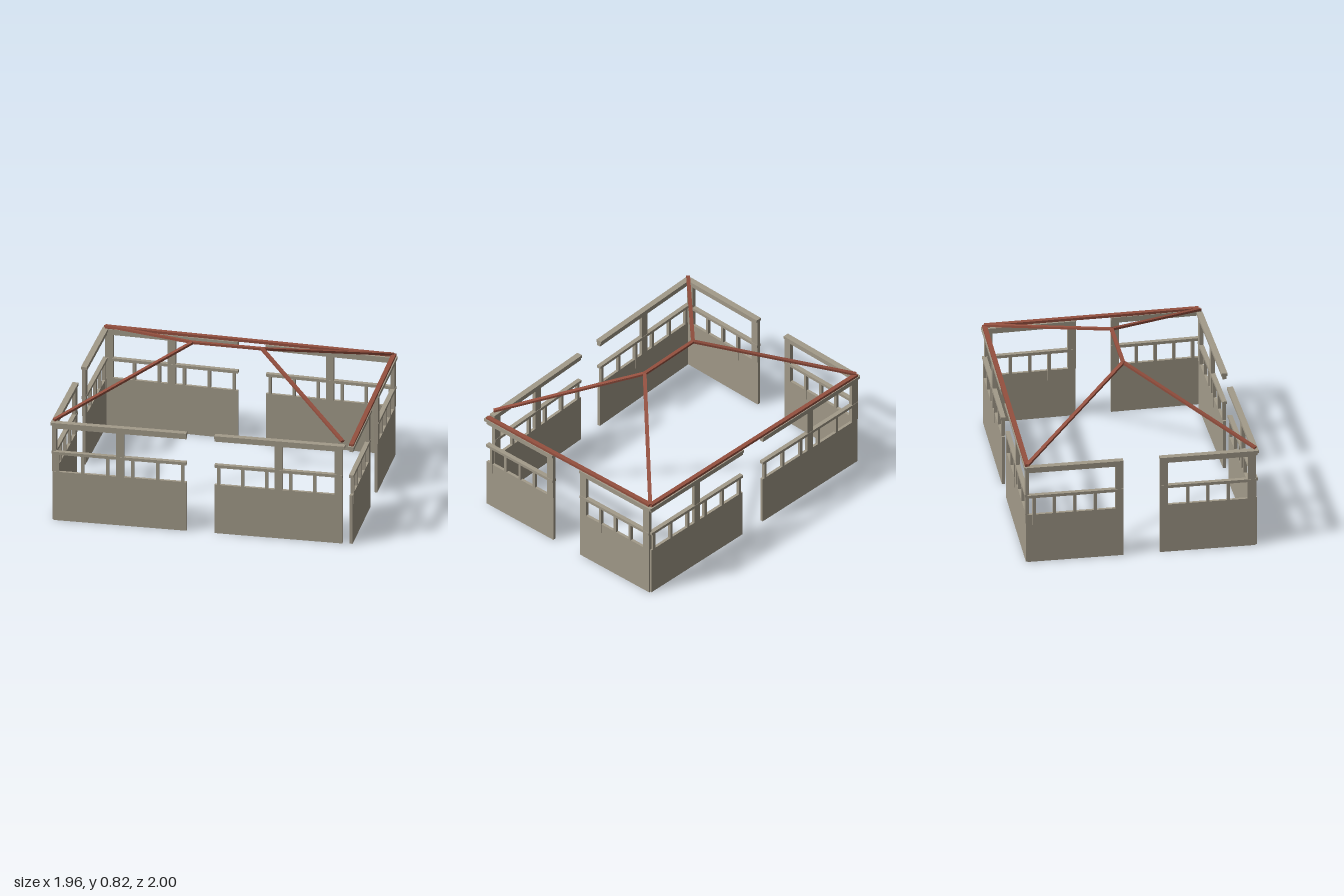
import * as THREE from 'three';

const wood = new THREE.MeshStandardMaterial({ color: 0xa39b8a });
wood.name = 'weathered wood';
const red = new THREE.MeshStandardMaterial({ color: 0x95503f });
red.name = 'red roof timber';

// Corner points on the ground plan, as [x, z]
const west = [-0.965, -0.19], southA = [0.085, 0.945], southB = [0.115, 0.98];
const east = [0.96, 0.207], north = [-0.047, -0.985];

function box(parent, name, x0, x1, y0, y1, depth, material = wood) {
  const mesh = new THREE.Mesh(new THREE.BoxGeometry(x1 - x0, y1 - y0, depth), material);
  mesh.name = name;
  mesh.position.set((x0 + x1) / 2, (y0 + y1) / 2, 0);
  parent.add(mesh);
}

// Square timber between two points
function timber(parent, name, a, b, width, height) {
  const from = new THREE.Vector3(...a), to = new THREE.Vector3(...b);
  const mesh = new THREE.Mesh(new THREE.BoxGeometry(width, height, from.distanceTo(to)), red);
  mesh.name = name;
  mesh.position.copy(from).add(to).multiplyScalar(0.5);
  mesh.lookAt(to);
  parent.add(mesh);
}

// Half of a side: low wall, rail, balusters, post and top plates
function panel(parent, x0, x1, isLong, isFirst) {
  const len = x1 - x0;
  box(parent, 'lowWall', x0, x1, 0, 0.28, 0.016);
  box(parent, 'handRail', x0, x1, 0.38, 0.396, 0.024);
  box(parent, 'lowerPlate', x0, x1, 0.53, 0.548, 0.02);
  box(parent, 'upperPlate', x0 - (isFirst ? 0.012 : 0), x1 + (isFirst ? 0 : 0.012), 0.548, 0.564, 0.032);

  // Posts stand mid-panel on long sides and beside the opening on short sides
  const post = isLong ? (x0 + x1) / 2 : isFirst ? x1 - 0.021 : x0 + 0.021;
  box(parent, 'post', post - 0.021, post + 0.021, 0.28, 0.53, 0.02);
  if (!isFirst) box(parent, 'cornerPost', x1 - 0.042, x1, 0.28, 0.53, 0.02);

  const count = isLong ? 6 : 4;
  for (let i = 0; i < count; i++) {
    const f = isLong ? 0.03 + 0.188 * i : 0.07 + 0.213 * i;
    const x = x0 + len * (isFirst ? f : 1 - f);
    const bottom = i % 3 === 0 ? 0.22 : 0.28;
    box(parent, 'baluster', x - 0.008, x + 0.008, bottom, 0.38, 0.018);
  }
}

function side(parent, name, a, b, gapStart, gapEnd, isLong) {
  const g = new THREE.Group();
  g.name = name;
  const dx = b[0] - a[0], dz = b[1] - a[1], len = Math.hypot(dx, dz);
  g.position.set(a[0], 0, a[1]);
  g.rotation.y = Math.atan2(-dz, dx);
  panel(g, 0, len * gapStart, isLong, true);
  panel(g, len * gapEnd, len, isLong, false);
  parent.add(g);
}

export function createModel() {
  const model = new THREE.Group();
  model.name = 'openPavilion';

  // Four sides, each with an opening in the middle
  side(model, 'frontRightSide', west, southA, 0.46, 0.557, true);
  side(model, 'frontLeftSide', southB, east, 0.41, 0.575, false);
  side(model, 'backLeftSide', east, north, 0.443, 0.54, true);
  side(model, 'backRightSide', north, west, 0.42, 0.58, false);

  // Hipped roof frame
  const roof = new THREE.Group();
  roof.name = 'roofFrame';
  const ridgeBack = [-0.107, 0.814, -0.128], ridgeFront = [0.14, 0.814, 0.153];
  timber(roof, 'ridge', ridgeBack, ridgeFront, 0.02, 0.012);
  timber(roof, 'hip', [west[0], 0.575, west[1]], ridgeBack, 0.02, 0.012);
  timber(roof, 'hip', [north[0], 0.575, north[1]], ridgeBack, 0.02, 0.012);
  timber(roof, 'hip', [southA[0], 0.587, southA[1]], ridgeFront, 0.02, 0.012);
  timber(roof, 'hip', [east[0], 0.58, east[1]], ridgeFront, 0.02, 0.012);

  // Eaves along two sides
  timber(roof, 'eave', [southB[0], 0.568, southB[1]], [east[0], 0.578, east[1]], 0.024, 0.014);
  timber(roof, 'eave', [east[0], 0.575, east[1]], [north[0], 0.571, north[1]], 0.024, 0.014);
  model.add(roof);

  return model;
}
